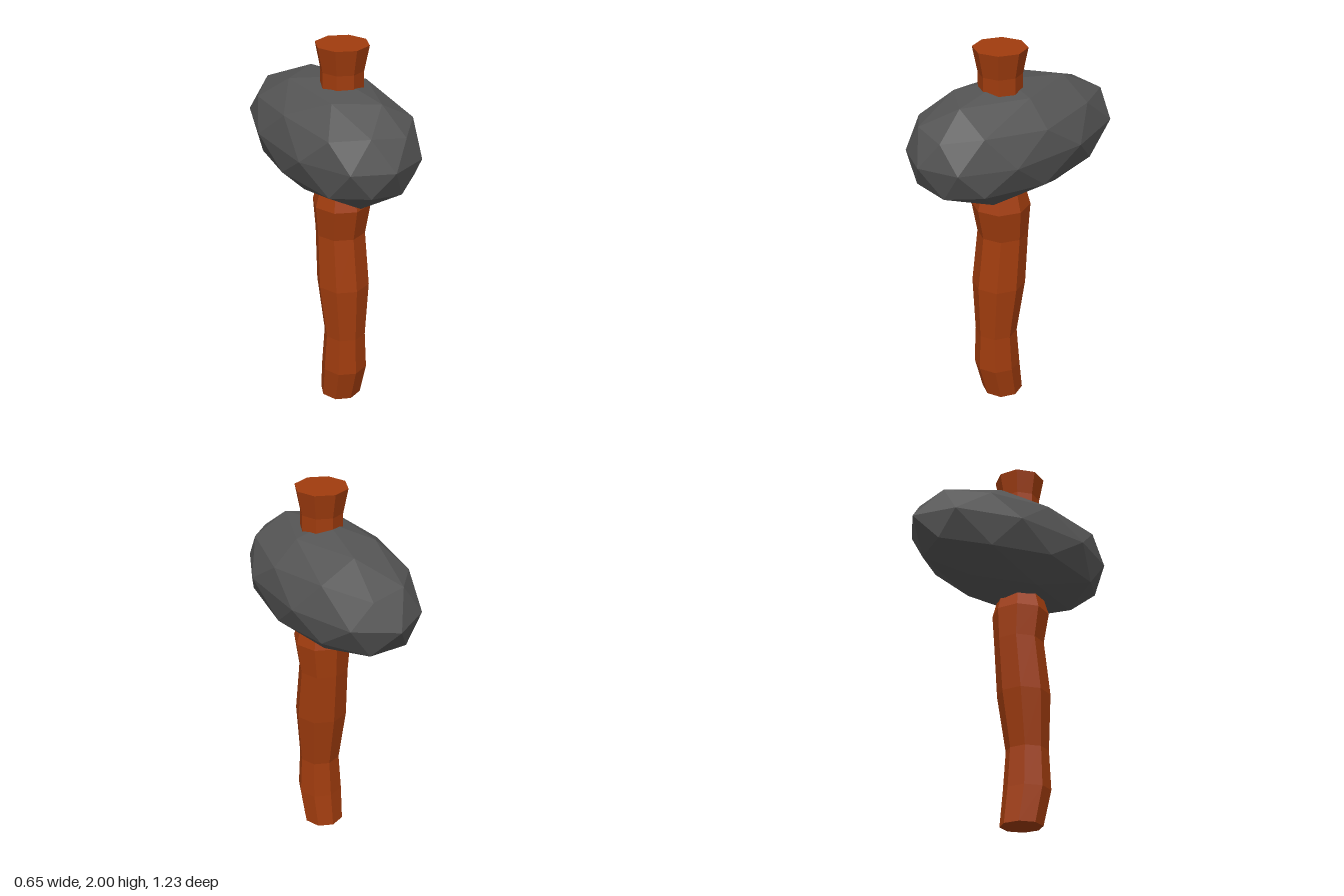
import * as THREE from 'three';

// Handle rings: height, radius, z of the centre
const RINGS = [
  [0, 0.11, 0.1], [0.19, 0.123, 0.137], [0.4, 0.111, 0.141], [0.7, 0.14, 0.12], [0.99, 0.132, 0.09],
  [1.16, 0.152, 0.102], [1.3, 0.112, 0.1], [1.87, 0.11, 0.1], [2, 0.136, 0.1],
];

// Moves every vertex of a geometry by a rule and gives it flat faces
function reshape(geometry, rule) {
  const geo = geometry.index ? geometry.toNonIndexed() : geometry;
  const pos = geo.attributes.position;
  const v = new THREE.Vector3();
  for (let i = 0; i < pos.count; i++) {
    rule(v.fromBufferAttribute(pos, i));
    pos.setXYZ(i, v.x, v.y, v.z);
  }
  geo.computeVertexNormals();
  return geo;
}

// Icosphere with its poles on the y axis
function icosphere(detail) {
  const points = [0, 1, 0, 0, -1, 0];
  const faces = [];
  const r = 2 / Math.sqrt(5), h = 1 / Math.sqrt(5);
  for (let i = 0; i < 5; i++) {
    const a = (i * 2 * Math.PI) / 5, b = a + Math.PI / 5;
    points.push(r * Math.cos(a), h, r * Math.sin(a), r * Math.cos(b), -h, r * Math.sin(b));
    const up = 2 + 2 * i, low = up + 1;
    const nextUp = 2 + 2 * ((i + 1) % 5), nextLow = nextUp + 1;
    faces.push(0, nextUp, up, up, nextUp, low, low, nextUp, nextLow, 1, low, nextLow);
  }
  return new THREE.PolyhedronGeometry(points, faces, 1, detail);
}

function part(name, geometry, color) {
  const mesh = new THREE.Mesh(geometry, new THREE.MeshStandardMaterial({ color, flatShading: true }));
  mesh.name = name;
  return mesh;
}

export function createModel() {
  const group = new THREE.Group();
  group.name = 'stoneHammer';

  // Crooked eight-sided wooden handle
  const n = RINGS.length - 1;
  const handle = reshape(new THREE.CylinderGeometry(1, 1, n, 8, n), (v) => {
    const [y, r, z] = RINGS[Math.round(v.y + n / 2)];
    v.set(0.012 + v.x * r, y, z + v.z * r);
  });
  group.add(part('handle', handle, 0xa03c0e));

  // Faceted stone head, blunter at the front
  const head = reshape(icosphere(1), (v) => {
    let z = 0.057 + v.z * 0.67;
    if (z > 0.4) z = 0.4 + (z - 0.4) * 0.65;
    v.set(v.x * 0.342, 1.515 + v.y * 0.306, z);
  });
  group.add(part('stoneHead', head, 0x555555));

  return group;
}
